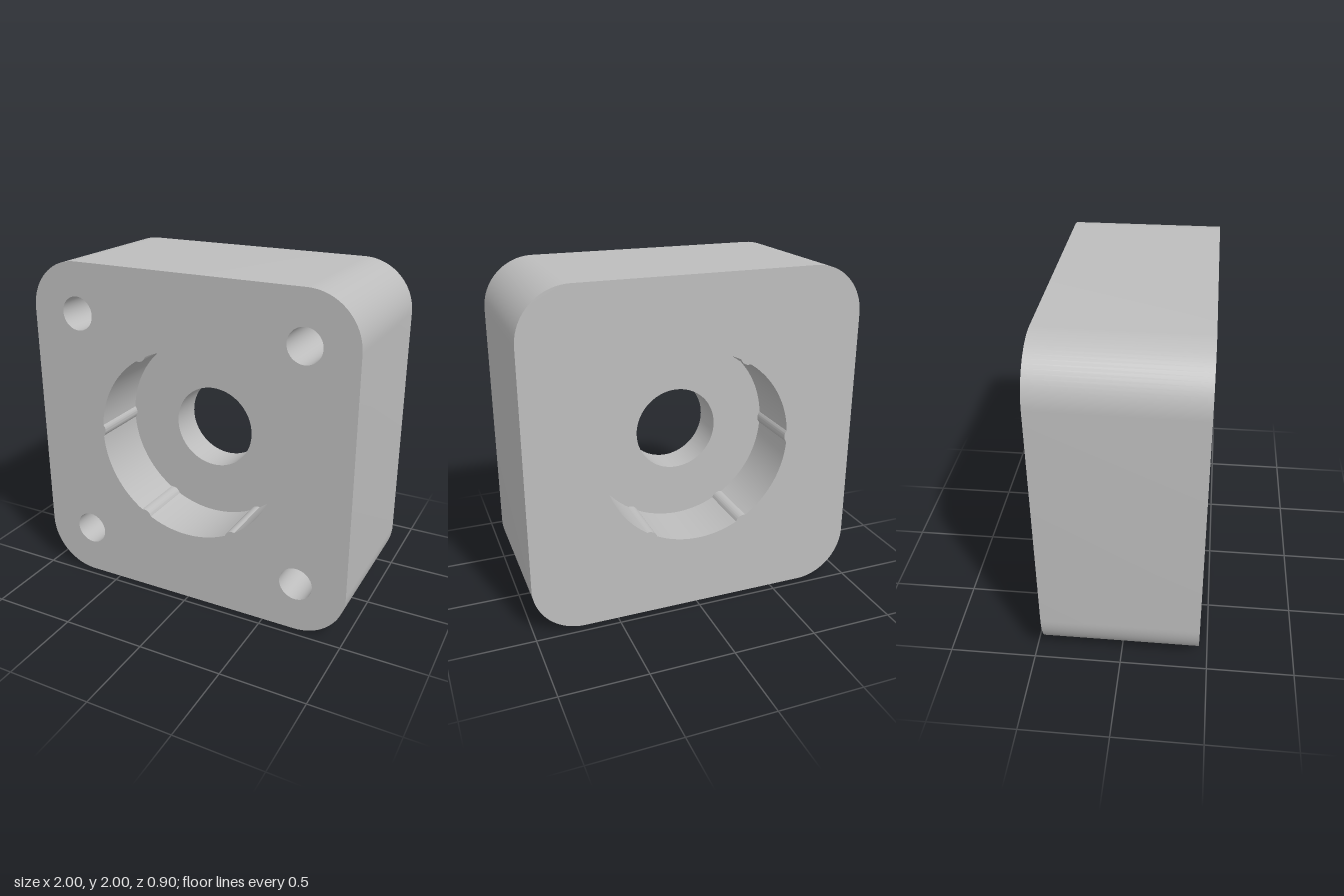
import * as THREE from 'three';
import { toCreasedNormals } from 'three/addons/utils/BufferGeometryUtils.js';

const HALF = 0.45;        // half thickness of the block
const WEB = 0.1;          // half thickness of the central web
const HOLE_DEPTH = 0.5;   // blind bolt holes

// counter-clockwise circle
function circle(x, y, r, n) {
  return Array.from({ length: n }, (_, i) => {
    const a = (i / n) * Math.PI * 2;
    return new THREE.Vector2(x + r * Math.cos(a), y + r * Math.sin(a));
  });
}

// counter-clockwise rounded square
function roundedSquare(half, r, n) {
  const pts = [], c = half - r;
  [[c, c], [-c, c], [-c, -c], [c, -c]].forEach(([x, y], k) => {
    for (let i = 0; i <= n; i++) {
      const a = (k + i / n) * Math.PI / 2;
      pts.push(new THREE.Vector2(x + r * Math.cos(a), y + r * Math.sin(a)));
    }
  });
  return pts;
}

// socket outline: a circle with six small round ribs bulging inward
function socketOutline() {
  const R = 0.565, d = 0.6, rib = 0.05, step = Math.PI / 3, pts = [];
  const h = Math.acos((R * R + d * d - rib * rib) / (2 * R * d));
  const add = (r, a) => pts.push(new THREE.Vector2(r * Math.cos(a), r * Math.sin(a)));
  for (let k = 0; k < 6; k++) {
    for (let i = 0; i < 12; i++) {
      const t = -h + (2 * h * i) / 12;
      add(d * Math.cos(t) - Math.sqrt(rib * rib - (d * Math.sin(t)) ** 2), k * step + t);
    }
    for (let i = 0; i < 20; i++) add(R, k * step + h + ((step - 2 * h) * i) / 20);
  }
  return pts;
}

// side wall swept along z; inward = true makes it face the inside of the loop
function wall(loop, z0, z1, inward) {
  const pts = inward ? [...loop].reverse() : loop;
  const pos = [];
  pts.forEach((a, i) => {
    const b = pts[(i + 1) % pts.length];
    pos.push(a.x, a.y, z0, b.x, b.y, z0, b.x, b.y, z1);
    pos.push(a.x, a.y, z0, b.x, b.y, z1, a.x, a.y, z1);
  });
  const g = new THREE.BufferGeometry();
  g.setAttribute('position', new THREE.Float32BufferAttribute(pos, 3));
  return toCreasedNormals(g, 0.45);
}

// flat face with holes, facing +z or -z (outlines are symmetric in x)
function face(outline, holes, z, back) {
  const s = new THREE.Shape(outline);
  holes.forEach((h) => s.holes.push(new THREE.Path(h)));
  const g = new THREE.ShapeGeometry(s);
  if (back) g.rotateY(Math.PI);
  return g.translate(0, 0, z);
}

export function createModel() {
  const model = new THREE.Group();
  model.name = 'bearingBlock';
  const grey = new THREE.MeshStandardMaterial({ color: 0xbdbdbd });
  grey.name = 'grey';

  const add = (name, geometry) => {
    const m = new THREE.Mesh(geometry, grey);
    m.name = name;
    m.position.y = 1;
    model.add(m);
  };

  const body = roundedSquare(1, 0.3, 20);
  const socket = socketOutline();
  const bore = circle(0, 0, 0.25, 72);
  const bolts = [[1, 1], [-1, 1], [-1, -1], [1, -1]].map(([x, y]) => circle(0.7 * x, 0.7 * y, 0.1, 40));

  // outer block
  add('outerWall', wall(body, -HALF, HALF, false));
  add('frontFace', face(body, [socket, ...bolts], HALF, false));
  add('backFace', face(body, [socket], -HALF, true));

  // ribbed sockets on both sides of the web, and the through bore
  add('frontSocketWall', wall(socket, WEB, HALF, true));
  add('backSocketWall', wall(socket, -HALF, -WEB, true));
  add('frontWebFace', face(socket, [bore], WEB, false));
  add('backWebFace', face(socket, [bore], -WEB, true));
  add('boreWall', wall(bore, -WEB, WEB, true));

  // blind bolt holes in the front
  bolts.forEach((b) => {
    add('boltHoleWall', wall(b, HALF - HOLE_DEPTH, HALF, true));
    add('boltHoleFloor', face(b, [], HALF - HOLE_DEPTH, false));
  });

  return model;
}
